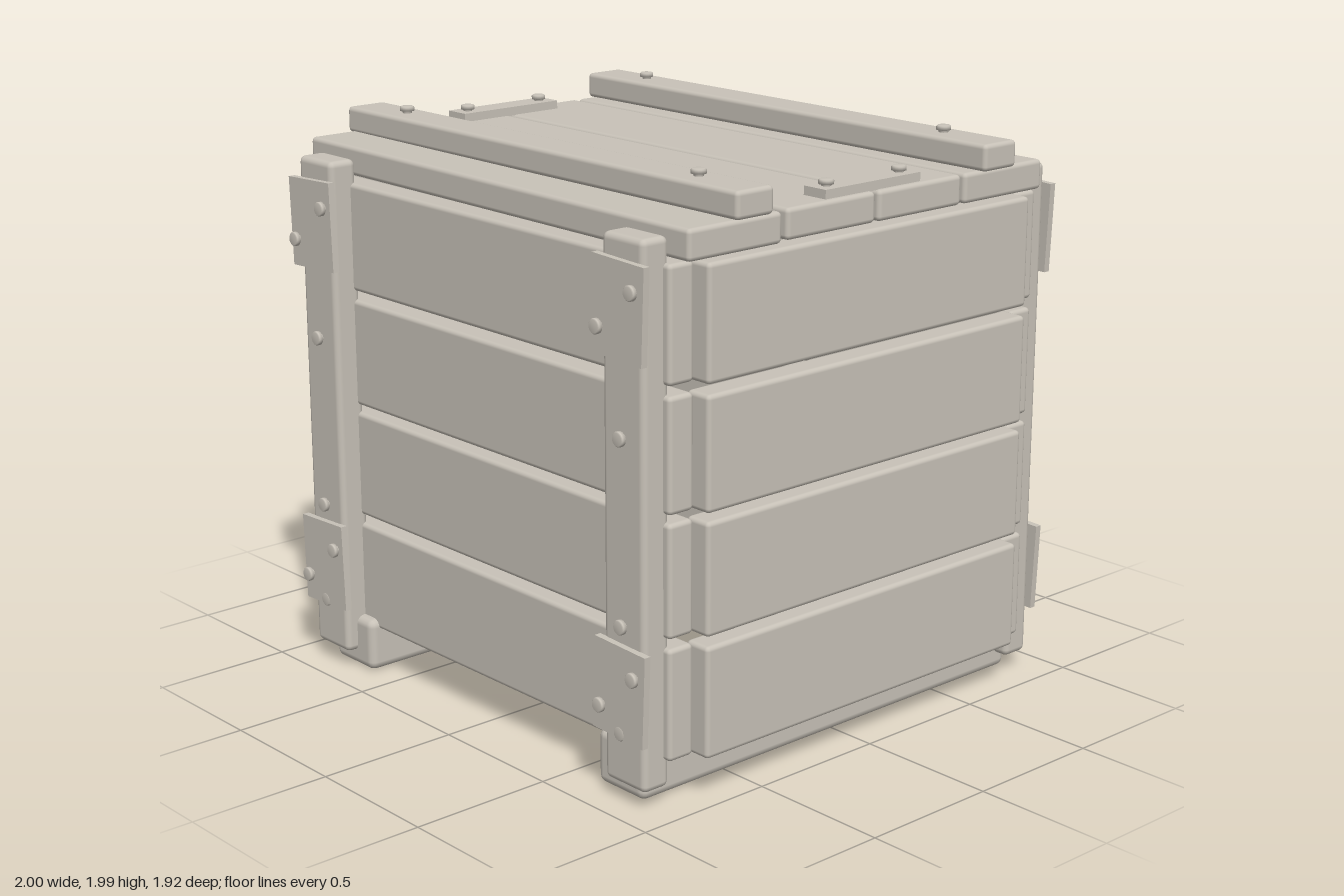
import * as THREE from 'three';
import { RoundedBoxGeometry } from 'three/addons/geometries/RoundedBoxGeometry.js';

export function createModel() {
  const crate = new THREE.Group();
  crate.name = 'crate';
  const material = new THREE.MeshStandardMaterial({ color: 0xc8c2b8 });
  material.name = 'pale wood';

  const add = (geometry, name, x, y, z) => {
    const mesh = new THREE.Mesh(geometry, material);
    mesh.name = name;
    mesh.position.set(x, y, z);
    crate.add(mesh);
    return mesh;
  };
  // Rounded board given by its limits on each axis
  const board = (name, [x0, x1], [y0, y1], [z0, z1], radius = 0.016) =>
    add(new RoundedBoxGeometry(x1 - x0, y1 - y0, z1 - z0, 2, radius), name,
      (x0 + x1) / 2, (y0 + y1) / 2, (z0 + z1) / 2);

  // Bolt along +y: narrow shank under a wider chamfered head
  const boltGeometry = new THREE.LatheGeometry([
    [0.016, -0.02], [0.016, 0.008], [0.025, 0.008], [0.025, 0.02], [0.021, 0.024], [0, 0.024],
  ].map(([r, y]) => new THREE.Vector2(r, y)), 16);
  const bolt = (x, y, z, side = 0) => {
    add(boltGeometry, 'bolt', x, y, z).rotation.x = side * Math.PI / 2;
  };

  // Four rows of wall planks; the end planks stand proud of the front and back ones
  for (const y of [0.155, 0.565, 0.97, 1.38]) {
    const rows = [y, y + 0.378];
    for (const s of [-1, 1]) {
      const wall = (a, b) => (s > 0 ? [a, b] : [-b, -a]);
      board(s > 0 ? 'frontPlank' : 'backPlank', [-0.925, 0.925], rows, wall(0.73, 0.832));
      board(s > 0 ? 'leftPlank' : 'rightPlank', wall(0.885, 0.988), rows, [-0.73, 0.73]);
    }
  }

  // Skids under the crate
  board('rightSkid', [-0.845, -0.62], [0, 0.19], [-0.868, 0.868], 0.03);
  board('leftSkid', [0.615, 0.84], [0, 0.19], [-0.868, 0.868], 0.03);

  // Corner posts with slightly crooked plates and bolts, front and back
  for (const side of [1, -1]) {
    const depth = side > 0 ? [0.805, 0.912] : [-0.912, -0.805];
    for (const s of [-1, 1]) {
      const x = s * 0.8;
      board('cornerPost', [x - 0.096, x + 0.096], [0.06, 1.84], depth, 0.022);
      for (const y of [0.245, 0.6, 1.21]) bolt(x, y, side * 0.912, side);
      for (const y of [0.385, 1.615]) {
        const plate = add(new THREE.BoxGeometry(0.237, 0.31, 0.024), 'cornerPlate', x, y, side * 0.922);
        plate.rotation.z = -s * 0.04;
        // Diagonal pair of bolts
        bolt(x + 0.078, y + 0.068, side * 0.934, side);
        bolt(x - 0.08, y - 0.062, side * 0.934, side);
      }
    }
  }

  // Lid planks, the front one sitting a little askew
  for (const [z0, z1] of [[-0.8, -0.415], [-0.4, -0.012], [0.002, 0.392], [0.412, 0.8]]) {
    const plank = board('lidPlank', [-0.98, 0.975], [1.772, 1.874], [z0, z1]);
    if (z0 > 0.4) plank.rotation.z = -0.005;
  }

  // Battens across the lid
  for (const z of [-0.56, 0.55]) {
    board('lidBatten', [-1, 1], [1.872, 1.963], [z - 0.078, z + 0.078]);
    for (const x of [-0.75, 0.745]) bolt(x, 1.963, z);
  }

  // Joining plates on the lid ends
  for (const x of [-0.914, 0.908]) {
    add(new THREE.BoxGeometry(0.096, 0.032, 0.43), 'lidPlate', x, 1.888, -0.005);
    for (const z of [-0.17, 0.16]) bolt(x, 1.902, z);
  }

  return crate;
}
